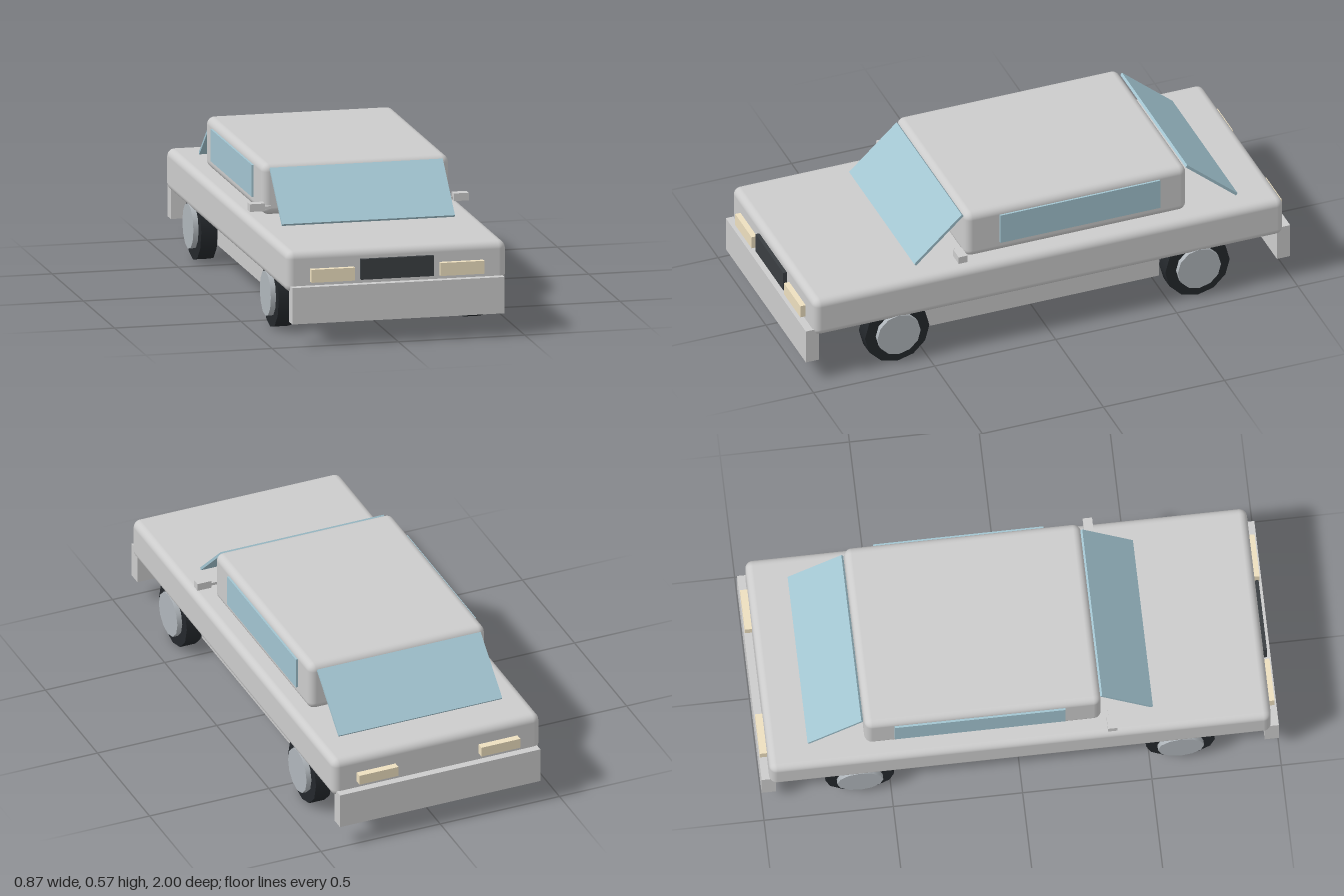
import * as THREE from 'three';
import { RoundedBoxGeometry } from 'three/addons/geometries/RoundedBoxGeometry.js';

const mat = (color) => new THREE.MeshStandardMaterial({ color });

export function createModel() {
  const car = new THREE.Group();
  car.name = 'car';
  const paint = mat(0xcccccc), glass = mat(0xa2c4d0), lamp = mat(0xeddfbf);
  const rubber = mat(0x24282c), hubMetal = mat(0xb0b6bb), dark = mat(0x3a3e42);

  const add = (name, geometry, material, x, y, z) => {
    const mesh = new THREE.Mesh(geometry, material);
    mesh.name = name;
    mesh.position.set(x, y, z);
    car.add(mesh);
    return mesh;
  };
  // Box given by its lower and upper limits on each axis
  const box = (name, material, [x0, x1], [y0, y1], [z0, z1], radius = 0) => {
    const size = [x1 - x0, y1 - y0, z1 - z0];
    const geometry = radius ? new RoundedBoxGeometry(...size, 4, radius) : new THREE.BoxGeometry(...size);
    return add(name, geometry, material, (x0 + x1) / 2, (y0 + y1) / 2, (z0 + z1) / 2);
  };

  // Body, cabin and underbody
  box('body', paint, [-0.435, 0.435], [0.205, 0.368], [-0.97, 0.97], 0.03);
  box('cabin', paint, [-0.37, 0.37], [0.37, 0.57], [-0.595, 0.32], 0.03);
  box('underbody', paint, [-0.35, 0.35], [0.083, 0.22], [-0.485, 0.485]);

  // Bumpers
  box('frontBumper', paint, [-0.42, 0.42], [0.09, 0.233], [0.945, 1]);
  box('rearBumper', paint, [-0.42, 0.42], [0.09, 0.233], [-1, -0.945]);

  // Sloping windscreens, each from its top edge to its bottom edge
  const screen = (name, topZ, bottomZ) => {
    const topY = 0.555, bottomY = 0.374, dz = bottomZ - topZ, dy = topY - bottomY;
    const pane = add(name, new THREE.BoxGeometry(0.684, Math.hypot(dz, dy), 0.011), glass,
      0, (topY + bottomY) / 2, (topZ + bottomZ) / 2);
    pane.rotation.x = -Math.atan2(dz, dy);
  };
  screen('windscreen', 0.322, 0.518);
  screen('rearWindow', -0.602, -0.81);

  // Grille
  box('grille', dark, [-0.144, 0.144], [0.248, 0.328], [0.95, 0.985]);

  // Parts mirrored left and right
  for (const [side, s] of [['left', 1], ['right', -1]]) {
    const span = (a, b) => (s > 0 ? [a, b] : [-b, -a]);
    box(side + 'SideWindow', glass, span(0.36, 0.378), [0.415, 0.541], [-0.48, 0.18]);
    box(side + 'Headlight', lamp, span(0.169, 0.342), [0.248, 0.299], [0.95, 0.992]);
    box(side + 'TailLight', lamp, span(0.174, 0.337), [0.26, 0.3], [-0.998, -0.95]);
    box(side + 'Mirror', paint, span(0.374, 0.433), [0.4, 0.43], [0.338, 0.374]);
    box(side + 'MirrorArm', paint, span(0.345, 0.376), [0.404, 0.415], [0.346, 0.358]);

    // Wheels: a tyre with a wider hub through it
    for (const [end, z] of [['Front', 0.62], ['Rear', -0.62]]) {
      const tyre = add(side + end + 'Tyre', new THREE.CylinderGeometry(0.133, 0.133, 0.065, 12), rubber,
        s * 0.38, 0.133, z);
      const hub = add(side + end + 'Hub', new THREE.CylinderGeometry(0.089, 0.089, 0.094, 12), hubMetal,
        s * 0.386, 0.133, z);
      tyre.rotation.z = hub.rotation.z = Math.PI / 2;
    }
  }
  return car;
}
